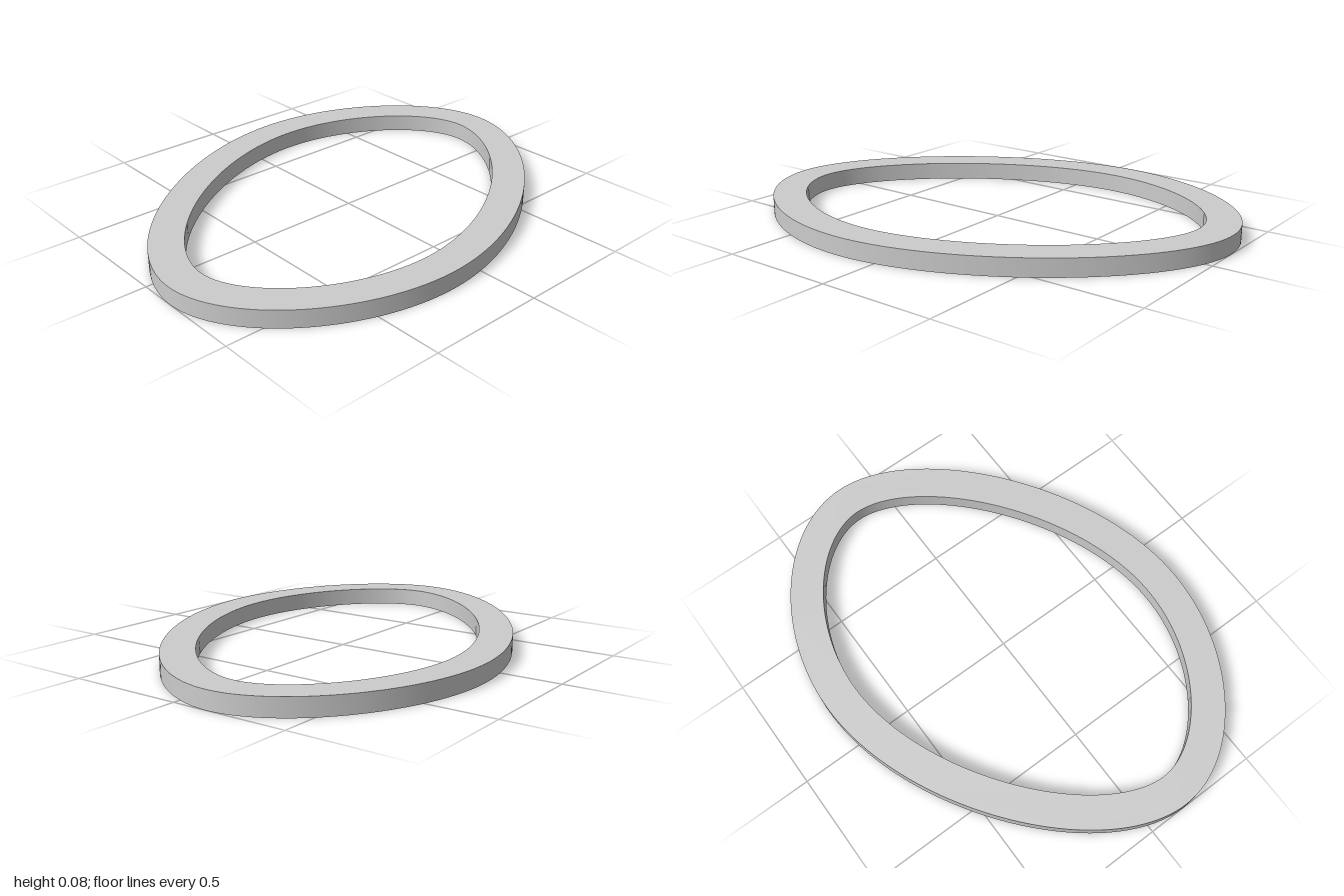
import * as THREE from 'three';
import { toCreasedNormals } from 'three/addons/utils/BufferGeometryUtils.js';

const HEIGHT = 0.075;
const WIDTH = 0.14;
const STEPS = 48;

export function createModel() {
  const group = new THREE.Group();
  group.name = 'ovalRing';

  // Half of the slanted oval: a tighter corner, then a longer flank
  const v = (x, y) => new THREE.Vector2(x, y);
  const half = [
    new THREE.CubicBezierCurve(v(1, 0.16), v(1, 0.47), v(0.61, 0.765), v(0.19, 0.765)),
    new THREE.CubicBezierCurve(v(0.19, 0.765), v(-0.36, 0.765), v(-1, 0.24), v(-1, -0.16)),
  ];

  // Sample the outer edge and offset it inward for the opening
  const outer = [], inner = [];
  for (const sign of [1, -1]) {
    for (const curve of half) {
      for (let i = 0; i < STEPS; i++) {
        const p = curve.getPoint(i / STEPS);
        const t = curve.getTangent(i / STEPS);
        const q = v(p.x - t.y * WIDTH, p.y + t.x * WIDTH);
        outer.push(p.multiplyScalar(sign));
        inner.push(q.multiplyScalar(sign));
      }
    }
  }

  // Flat band, laid on the ground
  const shape = new THREE.Shape(outer);
  shape.holes.push(new THREE.Path(inner));
  const geometry = new THREE.ExtrudeGeometry(shape, { depth: HEIGHT, bevelEnabled: false });
  geometry.rotateX(-Math.PI / 2);

  const ring = new THREE.Mesh(
    toCreasedNormals(geometry, Math.PI / 5),
    new THREE.MeshStandardMaterial({ color: 0xcccccc })
  );
  ring.name = 'ring';
  group.add(ring);
  return group;
}
